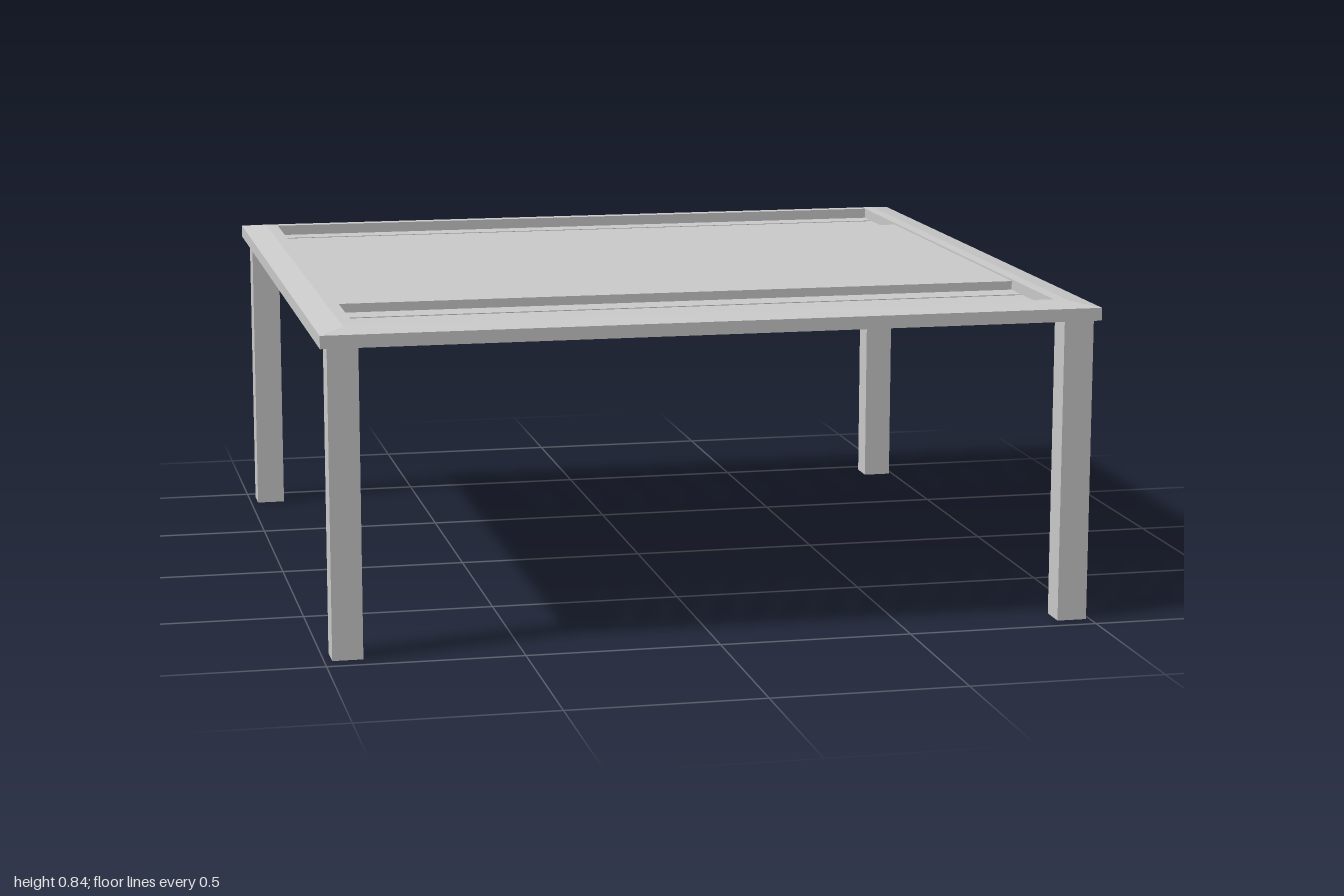
import * as THREE from 'three';

const material = new THREE.MeshStandardMaterial({ color: 0xcccccc, flatShading: true });

// Box given by its lower and upper limits on each axis
function box(name, x0, x1, y0, y1, z0, z1) {
  const mesh = new THREE.Mesh(new THREE.BoxGeometry(x1 - x0, y1 - y0, z1 - z0), material);
  mesh.position.set((x0 + x1) / 2, (y0 + y1) / 2, (z0 + z1) / 2);
  mesh.name = name;
  return mesh;
}

// Mitred frame: a cross-section swept round four corners
function mitredFrame(halfX, halfZ, section) {
  const corners = [[-1, 1], [1, 1], [1, -1], [-1, -1]];
  const n = section.length;
  const positions = [], indices = [];
  for (const [sx, sz] of corners) {
    for (const [inset, y] of section) positions.push(sx * (halfX - inset), y, sz * (halfZ - inset));
  }
  for (let c = 0; c < 4; c++) {
    for (let i = 0; i < n; i++) {
      const j = (i + 1) % n, d = ((c + 1) % 4) * n;
      const a = c * n + i, b = d + i, e = d + j, f = c * n + j;
      indices.push(a, b, e, a, e, f);
    }
  }
  const indexed = new THREE.BufferGeometry();
  indexed.setAttribute('position', new THREE.Float32BufferAttribute(positions, 3));
  indexed.setIndex(indices);
  const geometry = indexed.toNonIndexed();
  geometry.computeVertexNormals();
  return geometry;
}

export function createModel() {
  const table = new THREE.Group();
  table.name = 'slattedTable';

  // Sloping border of the top
  const frame = new THREE.Mesh(mitredFrame(1, 0.982, [
    [0, 0.793], [0, 0.826], [0.065, 0.836], [0.097, 0.836], [0.097, 0.793],
  ]), material);
  frame.name = 'topFrame';
  table.add(frame);

  // Slats running the full width, with narrow gaps
  const slats = new THREE.Group();
  slats.name = 'slats';
  const pitch = 0.1205, gap = 0.012, firstGap = -0.814;
  for (let i = 0; i < 15; i++) {
    const end = firstGap + i * pitch - gap / 2;
    const start = i === 0 ? -0.9 : end - pitch + gap;
    slats.add(box('slat', -0.91, 0.91, 0.785, 0.808, start, end));
  }
  table.add(slats);

  // Solid panel over the middle slats
  table.add(box('centrePanel', -0.903, 0.903, 0.808, 0.831, -0.562, 0.546));

  // Four square legs
  for (const [x0, x1] of [[-0.98, -0.902], [0.912, 0.99]]) {
    for (const [z0, z1] of [[0.874, 0.951], [-0.956, -0.879]]) {
      table.add(box('leg', x0, x1, 0, 0.793, z0, z1));
    }
  }
  return table;
}
